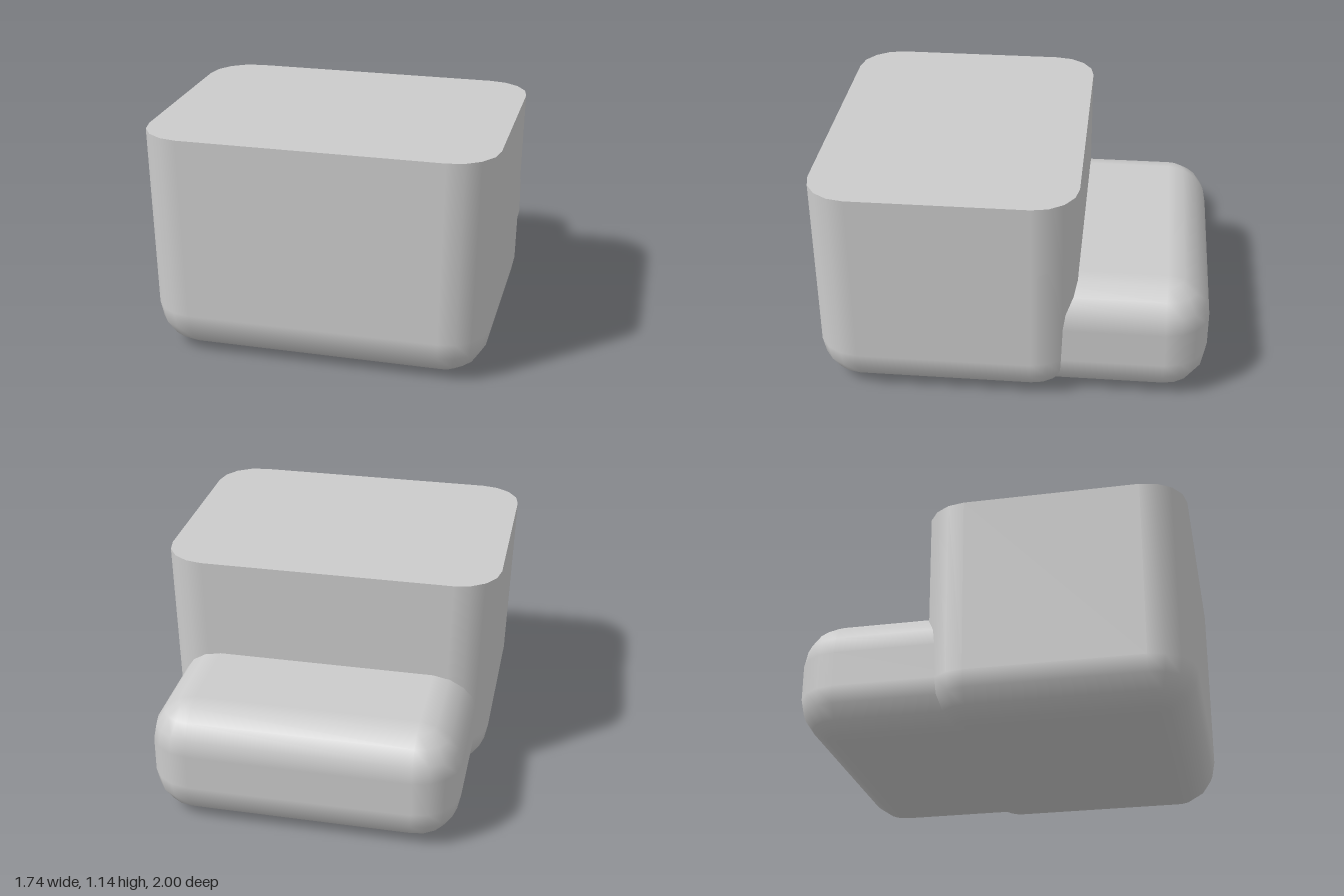
import * as THREE from 'three';

const R = 0.22; // edge radius shared by both blocks
const SEG = 4; // facets per rounded edge

// One closed skin lofted through rounded-rectangle rings, bottom to top.
// Ring: y, core half sizes hx/hz, corner radius r, vertical and outward normal parts ny/nr.
function loft(rings) {
  const pos = [], nor = [], idx = [], n = 4 * (SEG + 1);
  for (const { y, hx, hz, r, ny, nr } of rings) {
    for (let c = 0; c < 4; c++) {
      const sx = c === 0 || c === 3 ? 1 : -1, sz = c < 2 ? 1 : -1;
      for (let k = 0; k <= SEG; k++) {
        const t = (c + k / SEG) * Math.PI / 2;
        pos.push(sx * hx + r * Math.cos(t), y, sz * hz + r * Math.sin(t));
        nor.push(nr * Math.cos(t), ny, nr * Math.sin(t));
      }
    }
  }
  for (let s = 0; s < rings.length - 1; s++) {
    for (let k = 0; k < n; k++) {
      const i = s * n + k, j = s * n + (k + 1) % n;
      idx.push(i, i + n, j + n, i, j + n, j);
    }
  }
  const top = (rings.length - 1) * n;
  for (let k = 1; k < n - 1; k++) idx.push(0, k, k + 1, top, top + k + 1, top + k);
  const g = new THREE.BufferGeometry();
  g.setAttribute('position', new THREE.Float32BufferAttribute(pos, 3));
  g.setAttribute('normal', new THREE.Float32BufferAttribute(nor, 3));
  g.setIndex(idx);
  return g;
}

// Rings of a quarter-round edge: bottom (dir -1) or top (dir 1)
function roundEdge(yCentre, hx, hz, dir) {
  const rings = [];
  for (let k = 0; k <= SEG; k++) {
    const a = (k / SEG) * Math.PI / 2;
    const s = Math.sin(a), c = Math.cos(a);
    rings.push({ y: yCentre + dir * R * c, hx, hz, r: R * s, ny: dir * c, nr: s });
  }
  return dir < 0 ? rings : rings.reverse();
}

export function createModel() {
  const group = new THREE.Group();
  const material = new THREE.MeshStandardMaterial({ color: 0xcccccc });
  const add = (name, geometry, z) => {
    const mesh = new THREE.Mesh(geometry, material);
    mesh.name = name;
    mesh.position.z = z;
    group.add(mesh);
  };

  // Main block: rounded base, sides flaring slightly in x, flat sharp-edged top
  const hz = 0.665 - R, topRing = { y: 1.143, hx: 0.87 - R, hz, r: R };
  add('mainBlock', loft([
    ...roundEdge(R, 0.848 - R, hz, -1),
    { ...topRing, ny: 0, nr: 1 },
    { ...topRing, ny: 1, nr: 0 },
  ]), 0.335);

  // Rear block: low, rounded on every edge, its front end buried in the main block
  const bx = 0.787 - R, bz = 0.555 - R;
  add('rearBlock', loft([
    ...roundEdge(R, bx, bz, -1),
    ...roundEdge(0.623 - R, bx, bz, 1),
  ]), -0.445);

  return group;
}
